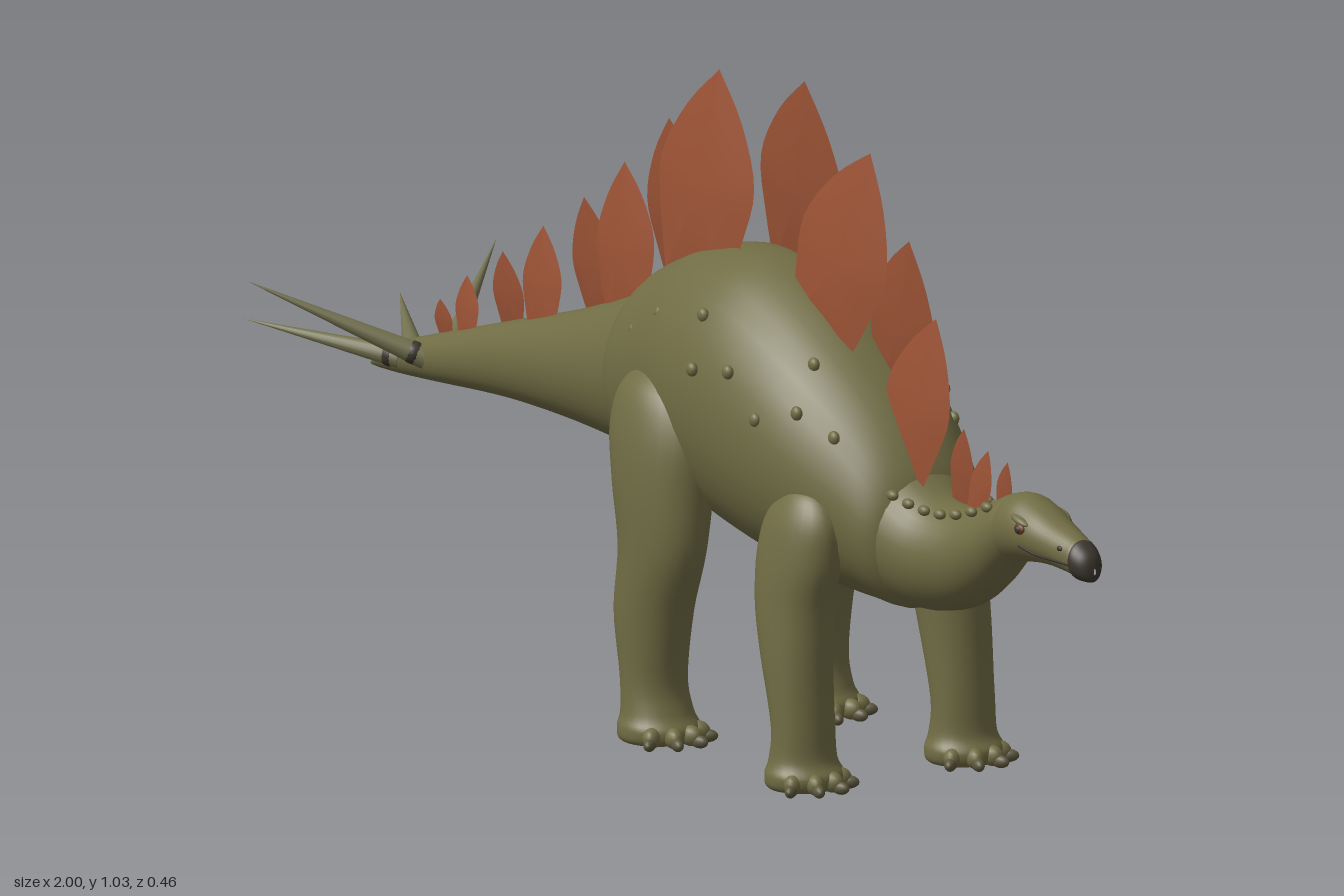
import * as THREE from 'three';

const mat = (name, color, side = THREE.FrontSide) => {
  const m = new THREE.MeshStandardMaterial({ color, side });
  m.name = name;
  return m;
};

// Smooth skin through cross-sections [t, a, b, ra, rb] along the x or y axis
function loft(rows, axis, steps = 6, sides = 32) {
  const pos = [], index = [];
  const n = (rows.length - 1) * steps;
  const at = (i, k) => rows[Math.max(0, Math.min(rows.length - 1, i))][k];
  for (let s = 0; s <= n; s++) {
    const i = Math.min(Math.floor(s / steps), rows.length - 2), f = s / steps - i;
    const [t, a, b, ra, rb] = [0, 1, 2, 3, 4].map((k) => {
      const p0 = at(i - 1, k), p1 = at(i, k), p2 = at(i + 1, k), p3 = at(i + 2, k);
      return 0.5 * (2 * p1 + (p2 - p0) * f + (2 * p0 - 5 * p1 + 4 * p2 - p3) * f * f
        + (3 * p1 - p0 - 3 * p2 + p3) * f * f * f);
    });
    for (let j = 0; j < sides; j++) {
      const q = (j / sides) * Math.PI * 2;
      const u = a + Math.max(ra, 0.0005) * Math.sin(q), v = b + Math.max(rb, 0.0005) * Math.cos(q);
      pos.push(...(axis === 'x' ? [t, u, v] : [u, t, v]));
      if (s < n) {
        const A = s * sides + j, B = s * sides + (j + 1) % sides, C = A + sides, D = B + sides;
        if (axis === 'x') index.push(A, C, B, B, C, D);
        else index.push(A, B, C, B, D, C);
      }
    }
  }
  const g = new THREE.BufferGeometry();
  g.setAttribute('position', new THREE.Float32BufferAttribute(pos, 3));
  g.setIndex(index);
  g.computeVertexNormals();
  return g;
}

// Body profile rows [x, top, bottom, half width] become loft rows
const body = (rows) => loft(rows.map(([x, t, b, w]) => [x, (t + b) / 2, 0, (t - b) / 2, w]), 'x');

// Lens-shaped leaf plate from base to tip, leaning in to the middle line
function plateGeometry(bx, by, tx, ty, w, side) {
  const half = new THREE.SplineCurve([[0.3, -0.06], [0.43, 0.22], [0.5, 0.5], [0.3, 0.78], [0, 1]]
    .map(([x, y]) => new THREE.Vector2(x, y))).getPoints(16);
  const outline = [...half, ...half.slice(0, -1).reverse().map((p) => new THREE.Vector2(-p.x, p.y))];
  const dx = tx - bx, dy = ty - by, len = Math.hypot(dx, dy), m = outline.length;
  const rings = [1, 0.75, 0.5, 0.25, 0], pos = [], index = [];
  for (const face of [1, -1]) {
    const start = pos.length / 3;
    rings.forEach((s, r) => outline.forEach((p, j) => {
      const u = p.x * s * w, v = 0.42 + (p.y - 0.42) * s;
      pos.push(bx + dx * v + (u * dy) / len, by + dy * v - (u * dx) / len,
        side * 0.15 * w * (1 - v) + face * 0.055 * w * (1 - s * s));
      if (r < rings.length - 1) {
        const k = (j + 1) % m, A = start + r * m + j, B = start + r * m + k;
        if (face > 0) index.push(A, B, A + m, B, B + m, A + m);
        else index.push(A, A + m, B, B, A + m, B + m);
      }
    }));
  }
  const g = new THREE.BufferGeometry();
  g.setAttribute('position', new THREE.Float32BufferAttribute(pos, 3));
  g.setIndex(index);
  g.computeVertexNormals();
  return g;
}

export function createModel() {
  const root = new THREE.Group();
  const skin = mat('olive skin', 0x706c44);
  const rust = mat('rust plate', 0x9a5235, THREE.DoubleSide);
  const horn = mat('horn', 0x73714f);
  const dark = mat('dark beak', 0x3b362d);
  const claw = mat('claw', 0x5b563c);
  const iris = mat('eye', 0x6a3a22);

  const add = (name, geo, material, parent = root) => {
    const mesh = new THREE.Mesh(geo, material);
    mesh.name = name;
    parent.add(mesh);
    return mesh;
  };
  const blob = (name, material, x, y, z, sx, sy = sx, sz = sx) => {
    const b = add(name, new THREE.SphereGeometry(1, 14, 10), material);
    b.position.set(x, y, z);
    b.scale.set(sx, sy, sz);
    return b;
  };
  const cone = (name, material, from, to, r) => {
    const a = new THREE.Vector3(...from), d = new THREE.Vector3(...to).sub(a);
    const c = add(name, new THREE.ConeGeometry(r, d.length(), 14), material);
    c.position.copy(a).addScaledVector(d, 0.5);
    c.quaternion.setFromUnitVectors(new THREE.Vector3(0, 1, 0), d.normalize());
    return c;
  };

  // Trunk in overlapping lengths
  add('tail', body([[-0.87, 0.379, 0.375, 0.001], [-0.84, 0.405, 0.375, 0.014], [-0.78, 0.43, 0.377, 0.024],
    [-0.7, 0.455, 0.382, 0.032], [-0.5, 0.515, 0.395, 0.048], [-0.3, 0.575, 0.396, 0.077],
    [-0.1, 0.65, 0.386, 0.114], [-0.02, 0.68, 0.38, 0.128]]), skin);
  add('torso', body([[-0.14, 0.53, 0.49, 0.01], [-0.11, 0.655, 0.388, 0.116], [0, 0.725, 0.362, 0.145],
    [0.1, 0.752, 0.335, 0.166], [0.2, 0.755, 0.312, 0.176], [0.3, 0.722, 0.295, 0.176], [0.4, 0.665, 0.286, 0.164],
    [0.5, 0.585, 0.28, 0.134], [0.57, 0.5, 0.284, 0.1], [0.6, 0.42, 0.35, 0.02]]), skin);
  add('neck', body([[0.5, 0.55, 0.29, 0.125], [0.56, 0.5, 0.284, 0.102], [0.62, 0.462, 0.287, 0.084],
    [0.69, 0.46, 0.306, 0.066], [0.75, 0.482, 0.345, 0.054], [0.8, 0.503, 0.392, 0.046],
    [0.84, 0.49, 0.42, 0.03]]), skin);

  // Head and beak
  add('head', body([[0.76, 0.46, 0.42, 0.01], [0.79, 0.498, 0.398, 0.043], [0.83, 0.509, 0.404, 0.049],
    [0.87, 0.499, 0.41, 0.046], [0.91, 0.483, 0.412, 0.038], [0.955, 0.468, 0.408, 0.029],
    [0.97, 0.46, 0.407, 0.025], [0.978, 0.44, 0.42, 0.002]]), skin);
  add('beak', body([[0.962, 0.445, 0.42, 0.01], [0.967, 0.463, 0.404, 0.027], [0.985, 0.453, 0.402, 0.023],
    [0.996, 0.441, 0.404, 0.014], [1, 0.425, 0.415, 0.002]]), dark);

  for (const s of [1, -1]) {
    blob('eye', iris, 0.866, 0.466, s * 0.043, 0.012, 0.009, 0.006);
    blob('pupil', dark, 0.867, 0.466, s * 0.047, 0.006, 0.006, 0.004);
    blob('brow', skin, 0.86, 0.478, s * 0.038, 0.022, 0.006, 0.009).rotation.z = -0.25;
    blob('nostril', dark, 0.948, 0.45, s * 0.028, 0.006, 0.004, 0.003);
    add('mouth line', new THREE.TubeGeometry(new THREE.CatmullRomCurve3([[0.865, 0.441, 0.045], [0.9, 0.433, 0.039],
      [0.94, 0.43, 0.031], [0.972, 0.428, 0.025]].map(([x, y, z]) => new THREE.Vector3(x, y, s * z))), 16, 0.0022, 6), dark);

    // Tail spikes with dark sockets
    for (const [from, to] of [[[-0.70, 0.42, 0.02], [-0.87, 0.535, 0.23]], [[-0.775, 0.405, 0.012], [-1, 0.44, 0.145]]]) {
      const a = [from[0], from[1], s * from[2]], b = [to[0], to[1], s * to[2]];
      cone('tail spike', horn, a, b, 0.018);
      blob('spike socket', dark, ...a.map((v, i) => v + (b[i] - v) * 0.07), 0.018);
    }

    // Legs: rows of [y, centre x, centre z, radius x, radius z]
    const hind = [[0, 0.078, 0.147, 0.01, 0.01], [0.004, 0.078, 0.147, 0.056, 0.056], [0.025, 0.08, 0.147, 0.063, 0.063],
      [0.048, 0.075, 0.147, 0.054, 0.056], [0.1, 0.068, 0.148, 0.05, 0.052], [0.2, 0.068, 0.148, 0.068, 0.056],
      [0.3, 0.088, 0.147, 0.082, 0.058], [0.4, 0.08, 0.14, 0.096, 0.066], [0.48, 0.07, 0.13, 0.104, 0.068],
      [0.54, 0.062, 0.122, 0.083, 0.056], [0.573, 0.058, 0.115, 0.035, 0.026], [0.577, 0.058, 0.115, 0.001, 0.001]];
    const fore = [[0, 0.454, 0.147, 0.01, 0.01], [0.004, 0.454, 0.147, 0.05, 0.054], [0.025, 0.456, 0.147, 0.057, 0.062],
      [0.048, 0.452, 0.147, 0.047, 0.054], [0.1, 0.452, 0.147, 0.043, 0.051], [0.2, 0.435, 0.146, 0.056, 0.054],
      [0.28, 0.424, 0.142, 0.069, 0.055], [0.35, 0.428, 0.137, 0.081, 0.053], [0.41, 0.434, 0.133, 0.074, 0.045],
      [0.45, 0.438, 0.13, 0.042, 0.026], [0.46, 0.438, 0.13, 0.001, 0.001]];
    for (const [name, rows, fx] of [['hind', hind, 0.085], ['fore', fore, 0.45]]) {
      const leg = rows.map(([y, x, z, rx, rz]) => [y, x, s * z, rx, rz]);
      add(name + ' leg', loft(leg, 'y', 5, 28), skin);
      // Toes fanned around the front of the foot
      for (const a of [-0.9, -0.3, 0.3, 0.9]) {
        const c = Math.cos(a), d = Math.sin(a), z = s * 0.147;
        blob(name + ' toe', skin, fx + 0.058 * c, 0.018, z + 0.054 * d, 0.019, 0.016, 0.014).rotation.y = -a;
        blob(name + ' claw', claw, fx + 0.074 * c, 0.011, z + 0.068 * d, 0.016, 0.01, 0.009).rotation.y = -a;
      }
    }

    // Bumps scattered on the flanks [x, y, z]
    for (const [x, y, z] of [[-0.08, 0.6, 0.094], [-0.02, 0.61, 0.122], [0.05, 0.65, 0.125], [0.18, 0.675, 0.137],
      [0.2, 0.6, 0.172], [0.28, 0.61, 0.163], [0.35, 0.55, 0.163], [0.42, 0.57, 0.136], [0.4, 0.635, 0.09], [0.48, 0.54, 0.11]]) {
      blob('skin bump', skin, x, y, s * z, 0.011, 0.011, 0.008);
    }
    // Beaded row along the side of the neck
    for (let i = 0; i < 7; i++) {
      const f = i / 6;
      blob('neck bead', skin, 0.575 + 0.195 * f, 0.465 - 0.02 * Math.sin(f * Math.PI) + 0.015 * f,
        s * (0.07 - 0.035 * f), 0.012, 0.008, 0.008);
    }
  }

  // Two alternating rows of back plates [base x, base y, tip x, tip y, width, row side]
  const plates = [[0.02, 0.69, 0.03, 1.005, 0.24, 1], [0.195, 0.71, 0.25, 1.03, 0.22, -1], [0.335, 0.65, 0.42, 0.952, 0.22, 1],
    [0.455, 0.57, 0.52, 0.836, 0.17, -1], [0.535, 0.48, 0.59, 0.73, 0.16, 1], [0.64, 0.45, 0.662, 0.575, 0.06, -1],
    [0.698, 0.447, 0.725, 0.553, 0.052, 1], [0.75, 0.46, 0.775, 0.545, 0.04, -1], [-0.08, 0.64, -0.1, 0.905, 0.17, -1],
    [-0.18, 0.59, -0.215, 0.815, 0.15, 1], [-0.29, 0.55, -0.32, 0.74, 0.115, -1], [-0.41, 0.52, -0.425, 0.675, 0.1, 1],
    [-0.52, 0.495, -0.53, 0.615, 0.078, -1], [-0.61, 0.47, -0.622, 0.56, 0.06, 1], [-0.685, 0.45, -0.692, 0.51, 0.045, -1]];
  for (const p of plates) add('back plate', plateGeometry(...p), rust);

  return root;
}
